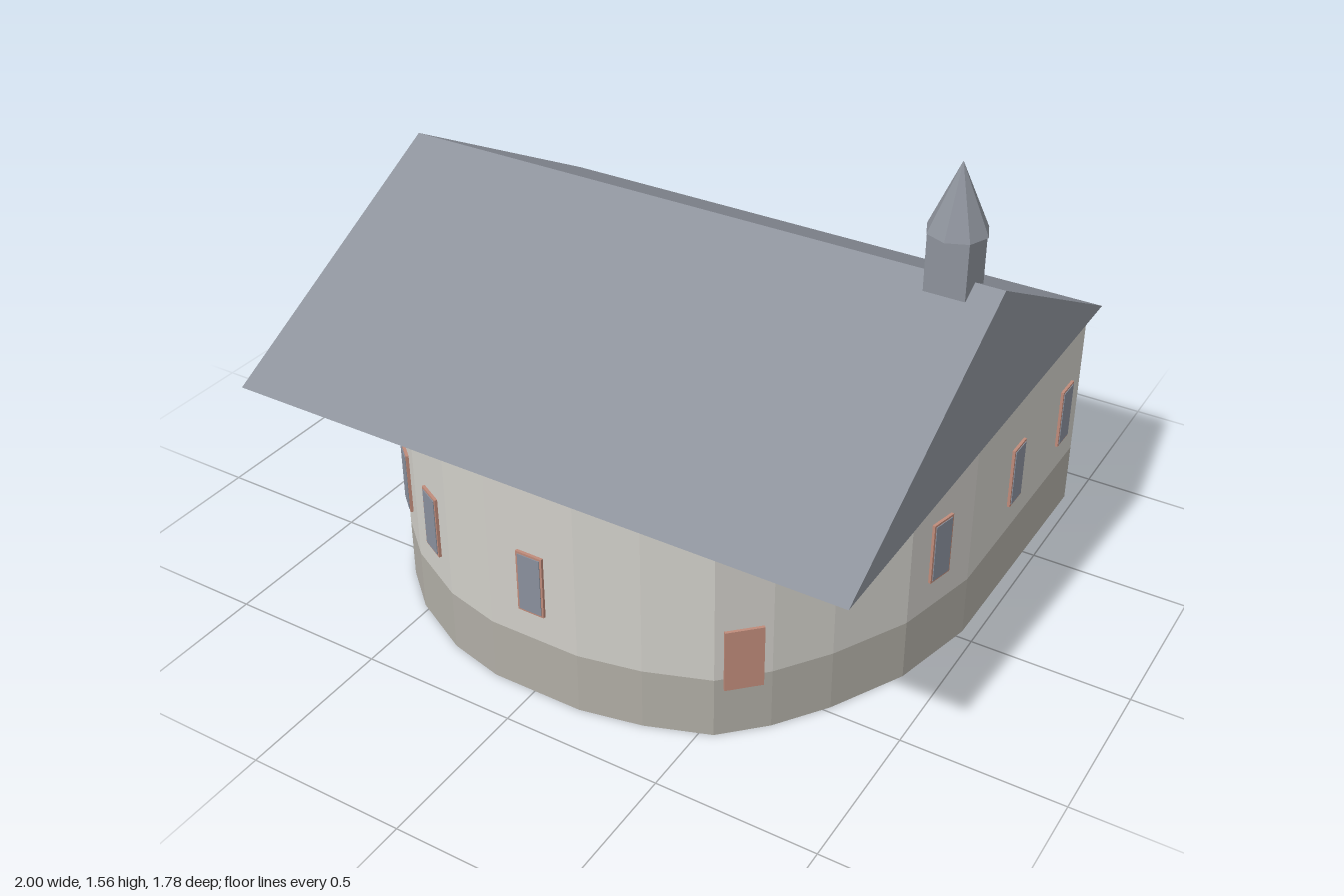
import * as THREE from 'three';

const mat = (name, color) => {
  const m = new THREE.MeshStandardMaterial({ color });
  m.name = name;
  return m;
};

// Footprint (x, z): straight back wall, bowed sides and front
const FOOTPRINT = [
  [0.965, -0.86], [0.957, -0.03], [0.89, 0.25], [0.77, 0.48], [0.66, 0.635], [0.54, 0.754],
  [0.347, 0.825], [0.155, 0.864], [-0.14, 0.864], [-0.32, 0.82], [-0.52, 0.715], [-0.65, 0.6],
  [-0.775, 0.43], [-0.845, 0.31], [-0.95, -0.04], [-0.965, -0.86],
];

const BASE_TOP = 0.2, EAVES = 0.735, RIDGE = 1.212, ROOF_HALF = 0.89;

export function createModel() {
  const group = new THREE.Group();
  const wallMat = mat('pale plaster', 0xd0cec8);
  const baseMat = mat('stone base', 0xb0ada5);
  const roofMat = mat('slate', 0x8d929b);
  const glassMat = mat('window glass', 0x8a909c);
  const woodMat = mat('red brown wood', 0xbf8b7a);

  const add = (name, geometry, material, parent = group) => {
    const mesh = new THREE.Mesh(geometry, material);
    mesh.name = name;
    parent.add(mesh);
    return mesh;
  };

  // Walls: footprint raised from y0 to y1
  const outline = new THREE.Shape(FOOTPRINT.map(([x, z]) => new THREE.Vector2(x, -z)));
  const storey = (name, y0, y1, material) => {
    const geometry = new THREE.ExtrudeGeometry(outline, { depth: y1 - y0, bevelEnabled: false });
    geometry.rotateX(-Math.PI / 2);
    add(name, geometry, material).position.y = y0;
  };
  storey('base', 0, BASE_TOP, baseMat);
  storey('walls', BASE_TOP, EAVES, wallMat);

  // Gabled roof, ridge along x
  const gable = new THREE.Shape([
    new THREE.Vector2(-ROOF_HALF, EAVES),
    new THREE.Vector2(ROOF_HALF, EAVES),
    new THREE.Vector2(0, RIDGE),
  ]);
  const roof = new THREE.ExtrudeGeometry(gable, { depth: 2, bevelEnabled: false });
  roof.translate(0, 0, -1).rotateY(Math.PI / 2);
  add('roof', roof, roofMat);

  // Turret with an eight-sided spire
  add('turret', new THREE.BoxGeometry(0.125, 0.18, 0.125), roofMat).position.set(0.847, 1.27, 0);
  const spire = new THREE.ConeGeometry(0.09, 0.205, 8).toNonIndexed();
  spire.computeVertexNormals();
  add('spire', spire, roofMat).position.set(0.847, 1.4575, 0);

  // Group placed on the wall facet nearest to (x, z), with its +z facing outwards
  const onWall = (name, x, y, z) => {
    const point = new THREE.Vector3(x, 0, z), hit = new THREE.Vector3();
    const spot = new THREE.Group();
    let best = Infinity;
    FOOTPRINT.forEach(([ax, az], i) => {
      const [bx, bz] = FOOTPRINT[(i + 1) % FOOTPRINT.length];
      const edge = new THREE.Line3(new THREE.Vector3(ax, 0, az), new THREE.Vector3(bx, 0, bz));
      edge.closestPointToPoint(point, true, hit);
      const distance = hit.distanceTo(point);
      if (distance < best) {
        best = distance;
        spot.position.set(hit.x, y, hit.z);
        spot.rotation.y = Math.atan2(bz - az, ax - bx);
      }
    });
    spot.name = name;
    group.add(spot);
    return spot;
  };

  // Windows on the back, right side, left side and front
  const windows = [
    ...[0.85, 0.515, 0.185, -0.145, -0.475, -0.775].map((x) => [x, -0.86]),
    [0.963, -0.74], [0.96, -0.35], [0.92, 0.12],
    [-0.963, -0.73], [-0.957, -0.44], [-0.952, -0.16], [-0.905, 0.11],
    [-0.617, 0.63], [-0.41, 0.773], [0.008, 0.864],
  ];
  for (const [x, z] of windows) {
    const spot = onWall('window', x, 0.4, z);
    add('windowFrame', new THREE.BoxGeometry(0.088, 0.205, 0.009), woodMat, spot).position.z = 0.0045;
    add('windowPane', new THREE.BoxGeometry(0.074, 0.191, 0.004), glassMat, spot).position.z = 0.0095;
  }

  // Door on the front right facet
  const doorway = onWall('doorway', 0.6, 0.267, 0.694);
  add('door', new THREE.BoxGeometry(0.115, 0.205, 0.009), woodMat, doorway).position.z = 0.0045;

  return group;
}
